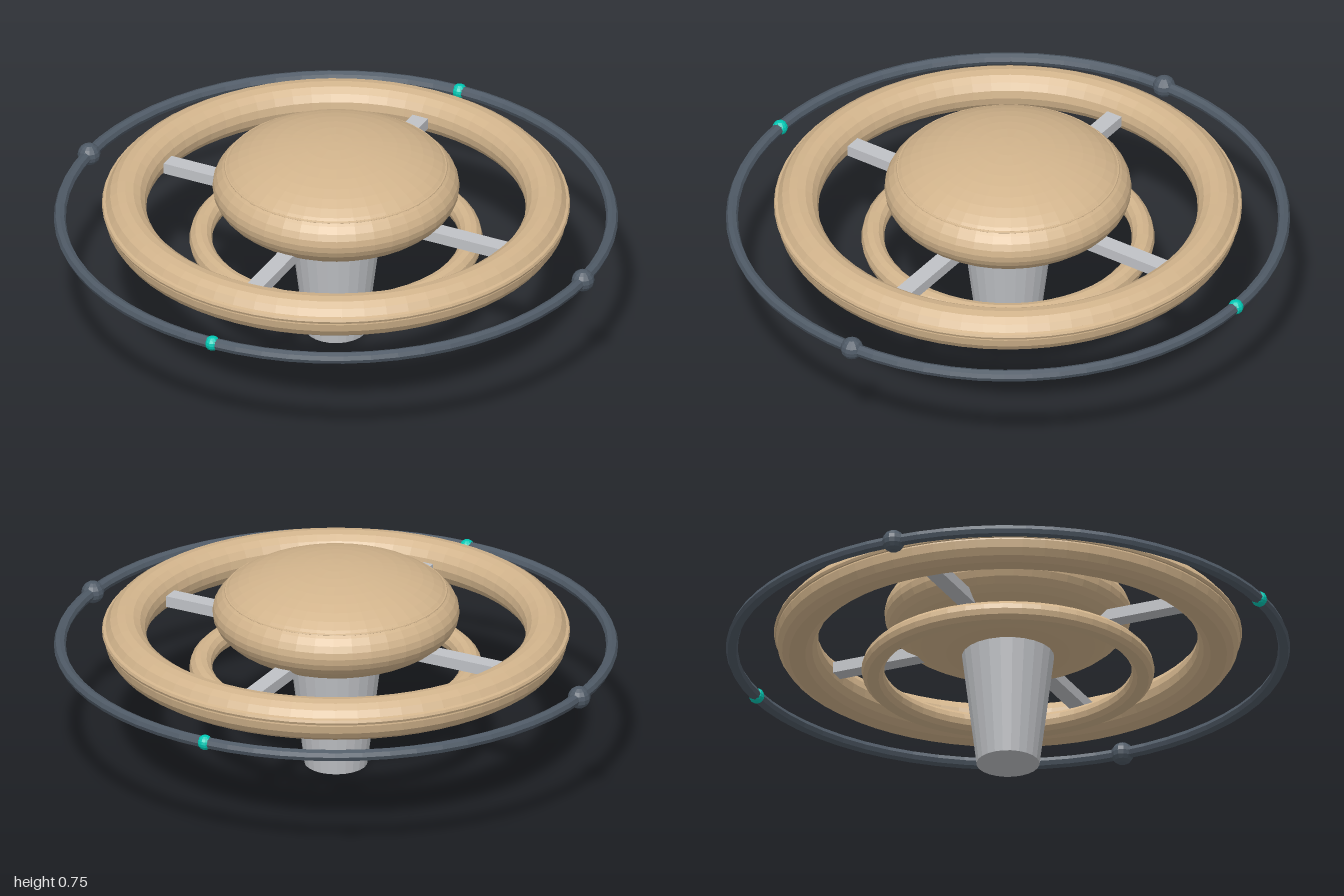
import * as THREE from 'three';

export function createModel() {
  const model = new THREE.Group();
  model.name = 'ringStation';

  const material = (name, color) => {
    const m = new THREE.MeshStandardMaterial({ color, flatShading: true });
    m.name = name;
    return m;
  };
  const tan = material('tanHull', 0xd2b48c);
  const silver = material('silverMetal', 0xc0c2c6);
  const slate = material('slateMetal', 0x4f5a66);
  const teal = material('tealLight', 0x00c8b4);

  const add = (name, geometry, mat, x = 0, y = 0, z = 0) => {
    const mesh = new THREE.Mesh(geometry, mat);
    mesh.name = name;
    mesh.position.set(x, y, z);
    model.add(mesh);
    return mesh;
  };

  // Horizontal ring around the vertical axis
  const ring = (name, radius, tube, y, sides, segments, mat) =>
    add(name, new THREE.TorusGeometry(radius, tube, sides, segments).rotateX(Math.PI / 2), mat, 0, y, 0);

  // Saucer hull with a fine seam on its upper half
  const hull = new THREE.SphereGeometry(0.43, 40, 24).scale(1, 0.175 / 0.43, 1);
  add('hull', hull, tan, 0, 0.573, 0);
  ring('hullSeam', 0.383, 0.005, 0.648, 8, 48, tan);

  // Tapered stem below the hull
  add('stem', new THREE.CylinderGeometry(0.162, 0.11, 0.42, 24), silver, 0, 0.21, 0);

  // Rings
  ring('habitatRing', 0.733, 0.074, 0.486, 16, 64, tan);
  ring('habitatTrim', 0.801, 0.013, 0.502, 8, 64, tan);
  ring('lowerRing', 0.47, 0.04, 0.36, 12, 48, tan);
  ring('outerRing', 0.96, 0.021, 0.445, 8, 64, slate);

  // Four spokes, with a node or light on the outer ring at each end
  for (let i = 0; i < 4; i++) {
    const angle = i * Math.PI / 2;
    const dx = Math.cos(angle), dz = Math.sin(angle);
    const spoke = add('spoke', new THREE.BoxGeometry(0.36, 0.04, 0.06), silver, dx * 0.475, 0.483, dz * 0.475);
    spoke.rotation.y = -angle;
    const isNode = i % 2 === 0;
    add(isNode ? 'ringNode' : 'ringLight',
      new THREE.SphereGeometry(isNode ? 0.04 : 0.027, 12, 8),
      isNode ? slate : teal, dx * 0.96, 0.445, dz * 0.96);
  }

  return model;
}
